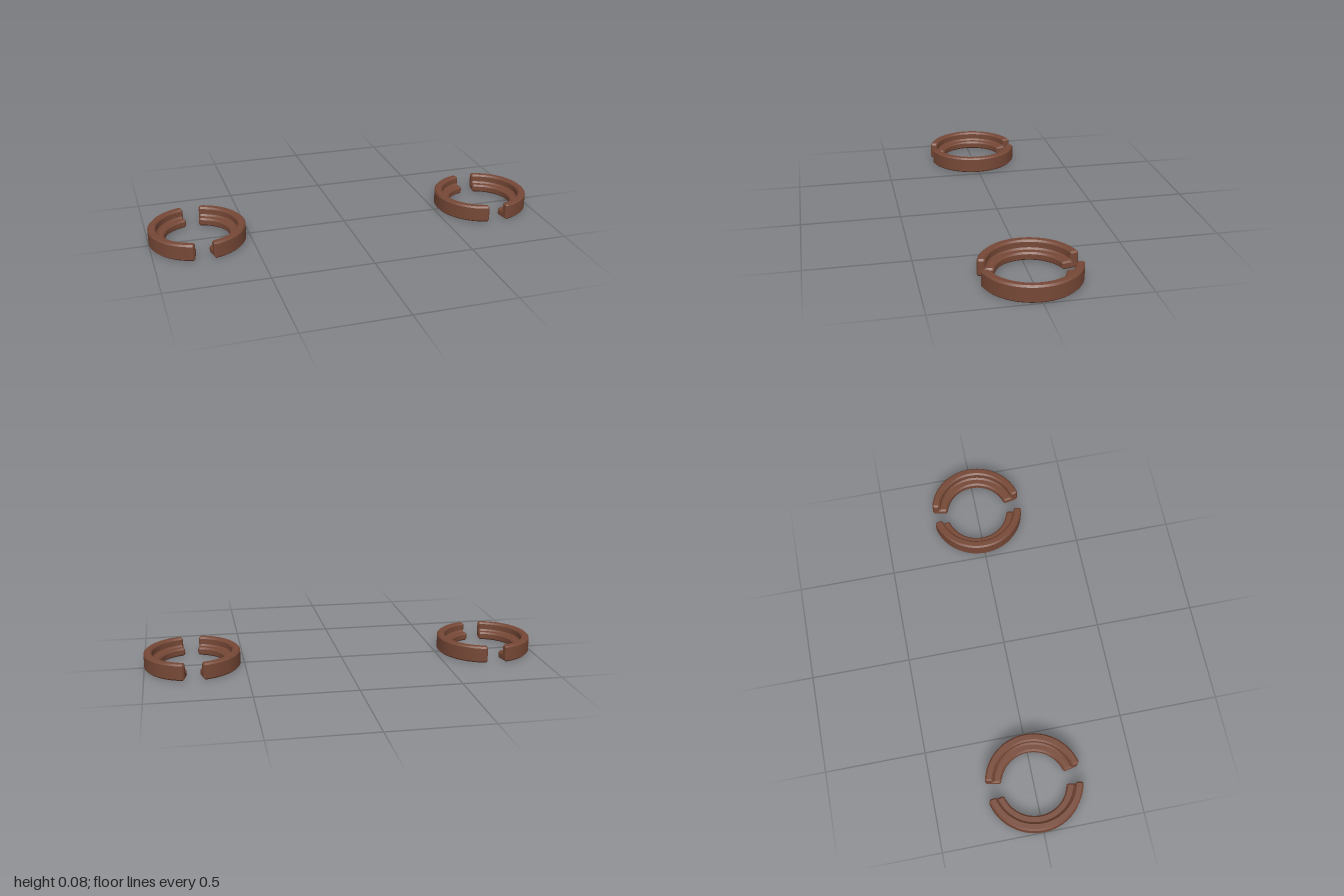
import * as THREE from 'three';
import { toCreasedNormals } from 'three/addons/utils/BufferGeometryUtils.js';

const INNER = 0.16, WALL = 0.2, OUTER = 0.24, LIP = 0.04, HEIGHT = 0.084;
const BEVEL = 0.008, GAP = 0.2, STEPS = 28;

// L-shaped section (radius, height), inset by d, each corner cut by c
function section(d, c) {
  const corners = [
    [INNER + d, d], [OUTER - d, d], [OUTER - d, HEIGHT - d],
    [WALL + d, HEIGHT - d], [WALL + d, LIP - d], [INNER + d, LIP - d],
  ].map(([r, y]) => new THREE.Vector2(r, y));
  const n = corners.length;
  return corners.flatMap((p, i) =>
    [corners[(i + n - 1) % n], corners[(i + 1) % n]].map((q) =>
      p.clone().add(q.clone().sub(p).setLength(c))));
}

// Half ring swept around y, with bevelled ends
function halfRingGeometry() {
  const full = section(0, BEVEL), small = section(BEVEL, 0.0005);
  const end = Math.PI / 2 - GAP;
  const rings = [{ pts: small, angle: -end, back: 0 }];
  for (let i = 0; i <= STEPS; i++) {
    const t = (2 * i) / STEPS - 1;
    rings.push({ pts: full, angle: t * end, back: -t * BEVEL });
  }
  rings.push({ pts: small, angle: end, back: 0 });

  const positions = [], index = [], n = full.length;
  for (const { pts, angle, back } of rings) {
    for (const p of pts) {
      const a = angle + back / p.x;
      positions.push(p.x * Math.cos(a), p.y, p.x * Math.sin(a));
    }
  }
  for (let k = 0; k < rings.length - 1; k++) {
    for (let i = 0; i < n; i++) {
      const a = k * n + i, b = k * n + ((i + 1) % n);
      index.push(a, b, a + n, b, b + n, a + n);
    }
  }
  // End caps
  const last = (rings.length - 1) * n;
  for (const [a, b, c] of THREE.ShapeUtils.triangulateShape(small, [])) {
    index.push(a, c, b, last + a, last + b, last + c);
  }
  const geometry = new THREE.BufferGeometry();
  geometry.setAttribute('position', new THREE.Float32BufferAttribute(positions, 3));
  geometry.setIndex(index);
  return toCreasedNormals(geometry, 0.5);
}

export function createModel() {
  const model = new THREE.Group();
  model.name = 'splitRings';
  const brown = new THREE.MeshStandardMaterial({ color: 0x764836 });
  brown.name = 'brown';
  const geometry = halfRingGeometry();

  // Two split rings, each of two facing halves
  for (const side of [-1, 1]) {
    const ring = new THREE.Group();
    ring.name = side > 0 ? 'leftRing' : 'rightRing';
    ring.position.x = side * 0.76;
    for (const half of [0, 1]) {
      const mesh = new THREE.Mesh(geometry, brown);
      mesh.name = half ? 'rightHalf' : 'leftHalf';
      mesh.rotation.y = half * Math.PI;
      ring.add(mesh);
    }
    model.add(ring);
  }
  return model;
}
